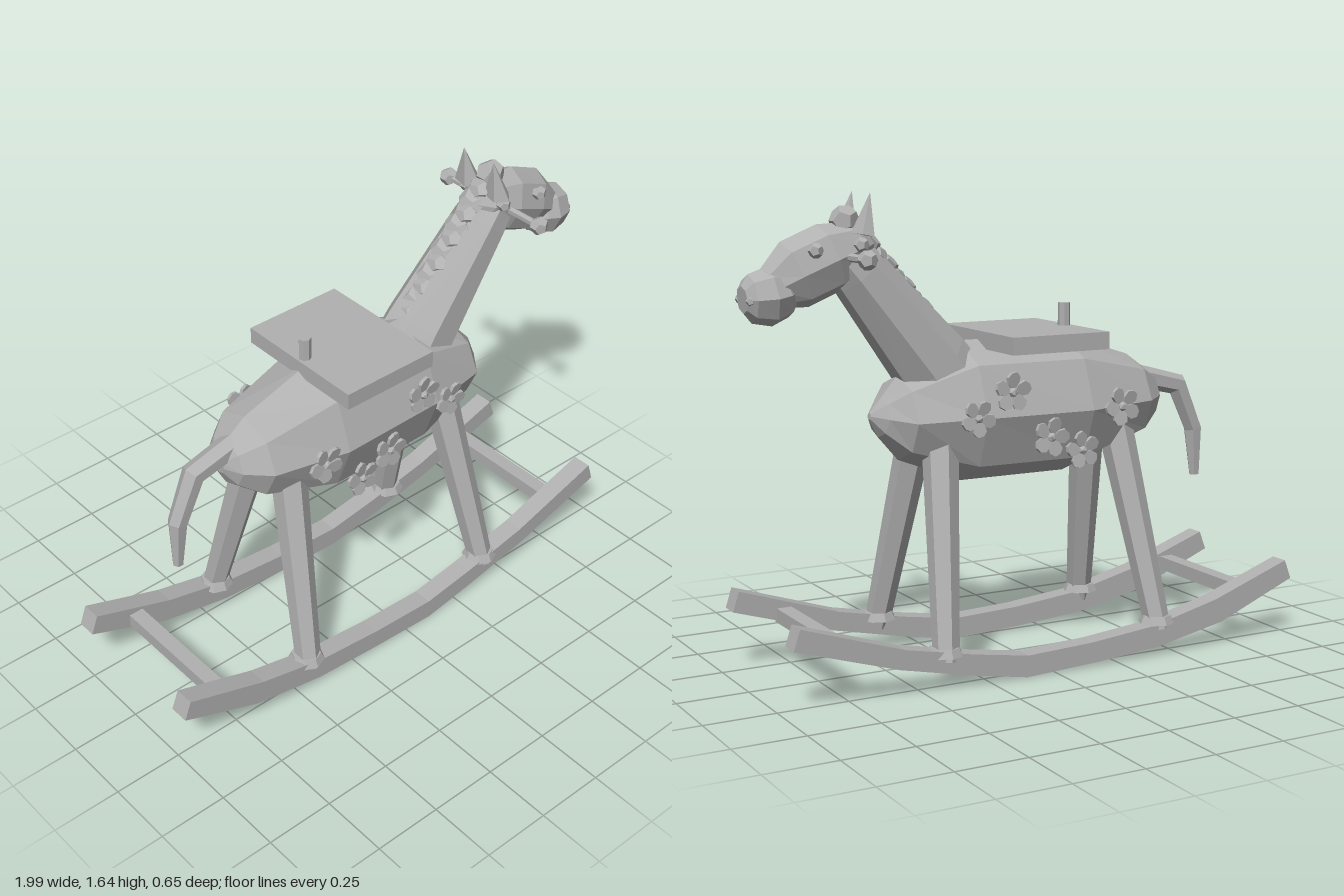
import * as THREE from 'three';

const grey = new THREE.MeshStandardMaterial({ color: 0xb0b0b0 });
grey.name = 'plain grey';
grey.flatShading = true;

const V = (x, y, z) => new THREE.Vector3(x, y, z);

// Skin through rings [x, y, radius in plane, radius in z, optional z] along a path in the xy plane
function loft(rings, sides, phase = 0) {
  const pos = [], index = [], last = rings.length - 1;
  rings.forEach(([x, y, rn, rz, z = 0], i) => {
    const a = rings[Math.max(i - 1, 0)], b = rings[Math.min(i + 1, last)];
    const t = new THREE.Vector2(b[0] - a[0], b[1] - a[1]).normalize();
    for (let j = 0; j < sides; j++) {
      const ang = phase + (j / sides) * Math.PI * 2;
      const n = Math.cos(ang) * rn;
      pos.push(x - t.y * n, y + t.x * n, z + Math.sin(ang) * rz);
    }
  });
  for (const i of [0, last]) pos.push(rings[i][0], rings[i][1], rings[i][4] || 0);
  const start = rings.length * sides;
  for (let j = 0; j < sides; j++) {
    const k = (j + 1) % sides;
    for (let i = 0; i < last; i++) {
      const p = i * sides, q = p + sides;
      index.push(p + j, p + k, q + k, p + j, q + k, q + j);
    }
    index.push(start, k, j, start + 1, last * sides + j, last * sides + k);
  }
  const g = new THREE.BufferGeometry();
  g.setAttribute('position', new THREE.Float32BufferAttribute(pos, 3));
  g.setIndex(index);
  g.computeVertexNormals();
  return g;
}

// Tapered rod between two points
function rod(a, b, ra, rb, sides) {
  const d = b.clone().sub(a);
  const g = new THREE.CylinderGeometry(rb, ra, d.length(), sides);
  g.applyQuaternion(new THREE.Quaternion().setFromUnitVectors(V(0, 1, 0), d.normalize()));
  const m = a.clone().add(b).multiplyScalar(0.5);
  return g.translate(m.x, m.y, m.z);
}

// Five flat petals around a raised centre, facing +z
function makeFlower(r) {
  const flower = new THREE.Group();
  flower.name = 'flower';
  const s = new THREE.Shape();
  [[0, 0.08], [0.3, 0.4], [0.36, 0.75], [0.15, 1], [-0.15, 0.96], [-0.36, 0.75], [-0.3, 0.4]]
    .forEach(([x, y], i) => (i ? s.lineTo(x * r, y * r) : s.moveTo(x * r, y * r)));
  const petalGeo = new THREE.ExtrudeGeometry(s, { depth: 0.012, bevelEnabled: false });
  for (let i = 0; i < 5; i++) {
    const petal = new THREE.Mesh(petalGeo, grey);
    petal.name = 'petal';
    petal.rotation.set(0.12, 0.15, (i / 5) * Math.PI * 2, 'ZYX');
    flower.add(petal);
  }
  const centre = new THREE.Mesh(new THREE.IcosahedronGeometry(r * 0.26, 0), grey);
  centre.name = 'flowerCentre';
  centre.position.z = 0.012;
  flower.add(centre);
  return flower;
}

export function createModel() {
  const horse = new THREE.Group();
  horse.name = 'rockingHorse';
  const add = (name, geo, x = 0, y = 0, z = 0) => {
    const m = new THREE.Mesh(geo, grey);
    m.name = name;
    m.position.set(x, y, z);
    horse.add(m);
    return m;
  };

  // Barrel body with blunt domed ends
  add('body', loft([
    [-0.585, 0.9, 0.03, 0.03], [-0.555, 0.9, 0.085, 0.095], [-0.475, 0.895, 0.15, 0.165],
    [-0.2, 0.888, 0.244, 0.222], [0.21, 0.888, 0.244, 0.212],
    [0.445, 0.882, 0.145, 0.165], [0.51, 0.89, 0.07, 0.08], [0.55, 0.895, 0.012, 0.012],
  ], 8));

  // Neck, head and muzzle
  add('neck', loft([[0.28, 1.0, 0.15, 0.135], [0.32, 1.06, 0.14, 0.13], [0.585, 1.38, 0.1, 0.1], [0.63, 1.43, 0.09, 0.09]], 8, Math.PI / 8));
  add('head', loft([
    [0.54, 1.475, 0.035, 0.04], [0.585, 1.465, 0.085, 0.08], [0.69, 1.43, 0.118, 0.102],
    [0.81, 1.38, 0.118, 0.095], [0.9, 1.335, 0.07, 0.07],
  ], 8));
  add('muzzle', loft([
    [0.815, 1.33, 0.04, 0.045], [0.85, 1.32, 0.08, 0.085], [0.9, 1.312, 0.097, 0.1],
    [0.965, 1.308, 0.08, 0.082], [0.99, 1.306, 0.045, 0.05],
  ], 8));

  // Tail curving down behind
  add('tail', loft([
    [-0.52, 0.96, 0.042, 0.045], [-0.69, 0.918, 0.042, 0.042],
    [-0.765, 0.75, 0.035, 0.035], [-0.775, 0.575, 0.019, 0.019],
  ], 6));

  // Mane locks stepping up the back of the neck
  for (let i = 0; i < 11; i++) {
    const t = i / 10;
    const lock = add('maneLock', new THREE.DodecahedronGeometry(0.045, 0), 0.255 + 0.32 * t, 1.145 + 0.365 * t);
    lock.scale.set(0.6, 1, 1.15);
    lock.rotation.set(i % 2 ? 0.25 : -0.25, 0, -0.75);
  }
  add('forelock', new THREE.DodecahedronGeometry(0.052, 0), 0.63, 1.55);

  // Seat board and small peg
  add('seat', new THREE.BoxGeometry(0.375, 0.06, 0.51), -0.05, 1.132);
  add('seatPeg', new THREE.CylinderGeometry(0.022, 0.022, 0.1, 7), -0.208, 1.192);

  // Rocker centre line [x, y, half height]
  const rocker = [[-0.985, 0.25, 0.037], [-0.68, 0.134, 0.045], [-0.41, 0.075, 0.04], [-0.15, 0.053, 0.037],
    [0.11, 0.042, 0.038], [0.32, 0.078, 0.036], [0.58, 0.133, 0.034], [0.95, 0.25, 0.037]];
  const flowers = [[0.125, 0.975, 0.07], [-0.31, 0.895, 0.07], [-0.025, 0.81, 0.07],
    [-0.15, 0.755, 0.067], [0.255, 0.895, 0.065]];

  for (const s of [1, -1]) {
    add('rocker', loft(rocker.map(([x, y, h]) => [x, y, h * Math.SQRT2, 0.036 * Math.SQRT2, s * 0.271]), 4, Math.PI / 4));

    // Splayed legs with collars at the rockers
    for (const [topX, footX] of [[-0.365, -0.44], [0.332, 0.405]]) {
      add('leg', rod(V(footX, 0.09, s * 0.275), V(topX, 0.8, s * 0.095), 0.045, 0.063, 6));
      add('legCollar', new THREE.CylinderGeometry(0.052, 0.065, 0.028, 8), footX, 0.128, s * 0.262);
    }

    // Ear
    const ear = add('ear', new THREE.ConeGeometry(0.057, 0.14, 5), 0.583, 1.575, s * 0.072);
    ear.scale.x = 0.65;
    ear.rotation.z = 0.2;

    // Handle bar, knob, eye and nostril
    add('handle', rod(V(0.65, 1.435, s * 0.06), V(0.65, 1.435, s * 0.22), 0.014, 0.014, 6));
    add('handleKnob', new THREE.DodecahedronGeometry(0.034, 0), 0.65, 1.435, s * 0.224);
    add('headKnob', new THREE.DodecahedronGeometry(0.026, 0), 0.61, 1.475, s * 0.09);
    add('eye', new THREE.DodecahedronGeometry(0.026, 0), 0.775, 1.462, s * 0.1);
    add('nostril', new THREE.DodecahedronGeometry(0.018, 0), 0.978, 1.305, s * 0.048);

    // Flower ornaments along the flank
    flowers.forEach(([x, y, r], i) => {
      const f = makeFlower(r);
      f.position.set(x, y, s * 0.217);
      f.rotation.set(0, s < 0 ? Math.PI : 0, i * 0.5);
      horse.add(f);
    });
  }

  // Crossbars joining the rockers
  for (const x of [-0.812, 0.775]) add('crossbar', new THREE.BoxGeometry(0.055, 0.05, 0.5), x, 0.183);

  return horse;
}
